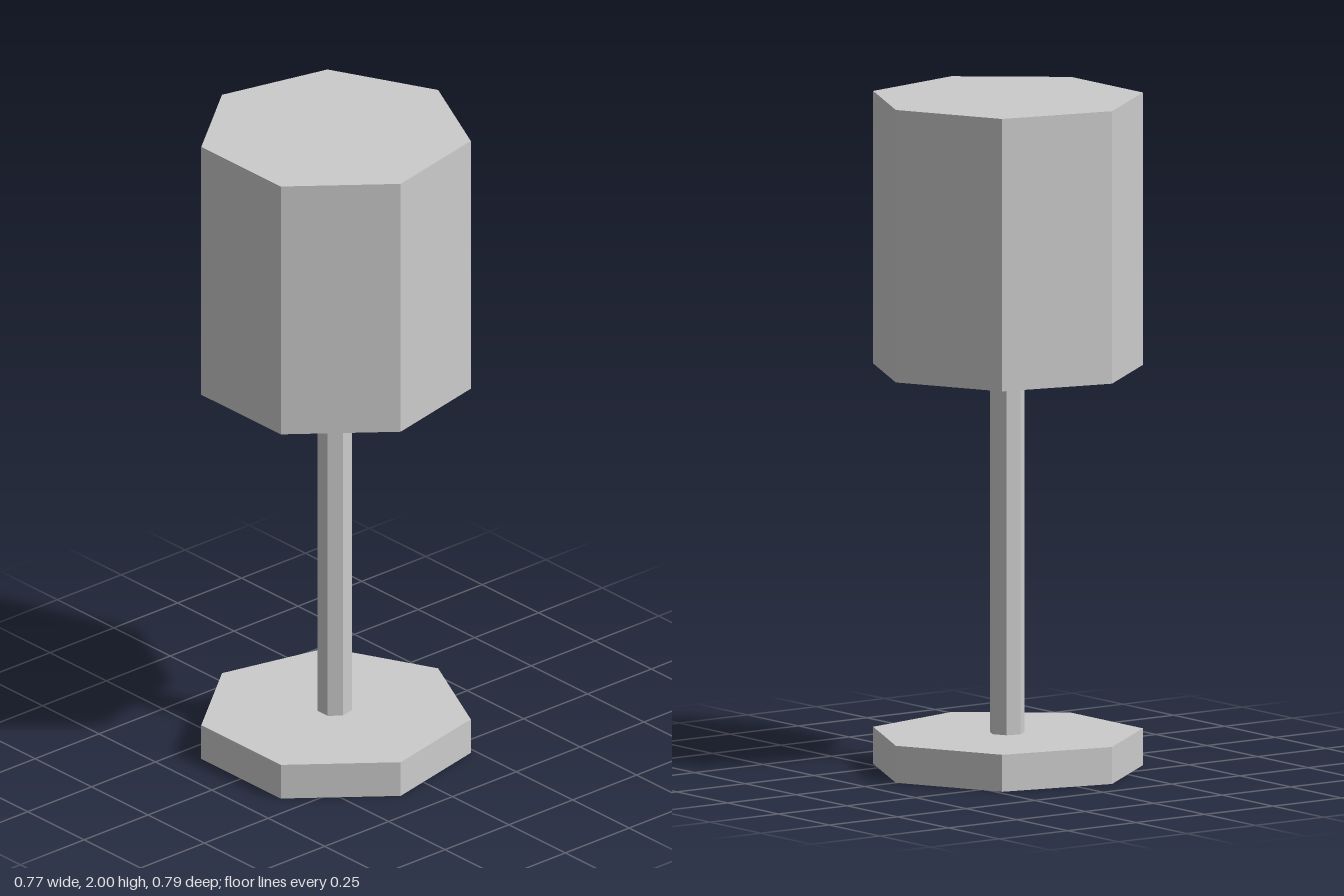
import * as THREE from 'three';

const SIDES = 7;
const CENTER_X = -0.02; // puts the seven-sided outline in the middle of x

export function createModel() {
  const group = new THREE.Group();
  group.name = 'tableLamp';
  const material = new THREE.MeshStandardMaterial({ color: 0xcccccc, flatShading: true });

  const add = (name, geometry, y) => {
    const mesh = new THREE.Mesh(geometry, material);
    mesh.name = name;
    mesh.position.set(CENTER_X, y, 0);
    group.add(mesh);
  };
  // Seven-sided prism with a corner pointing to +x
  const prism = (radius, height) =>
    new THREE.CylinderGeometry(radius, radius, height, SIDES, 1, false, Math.PI / 2);

  add('base', prism(0.406, 0.11), 0.055);
  add('pole', prism(0.052, 1.83), 1.025);

  // Hollow shade, closed on top and open below: inner ceiling, inner wall, rim, outer wall, top
  const profile = [[0, 1.94], [0.34, 1.94], [0.34, 1.19], [0.406, 1.19], [0.406, 2], [0, 2]]
    .map(([r, y]) => new THREE.Vector2(r, y));
  const shade = new THREE.LatheGeometry(profile, SIDES, Math.PI / 2);
  add('shade', shade, 0);

  return group;
}
